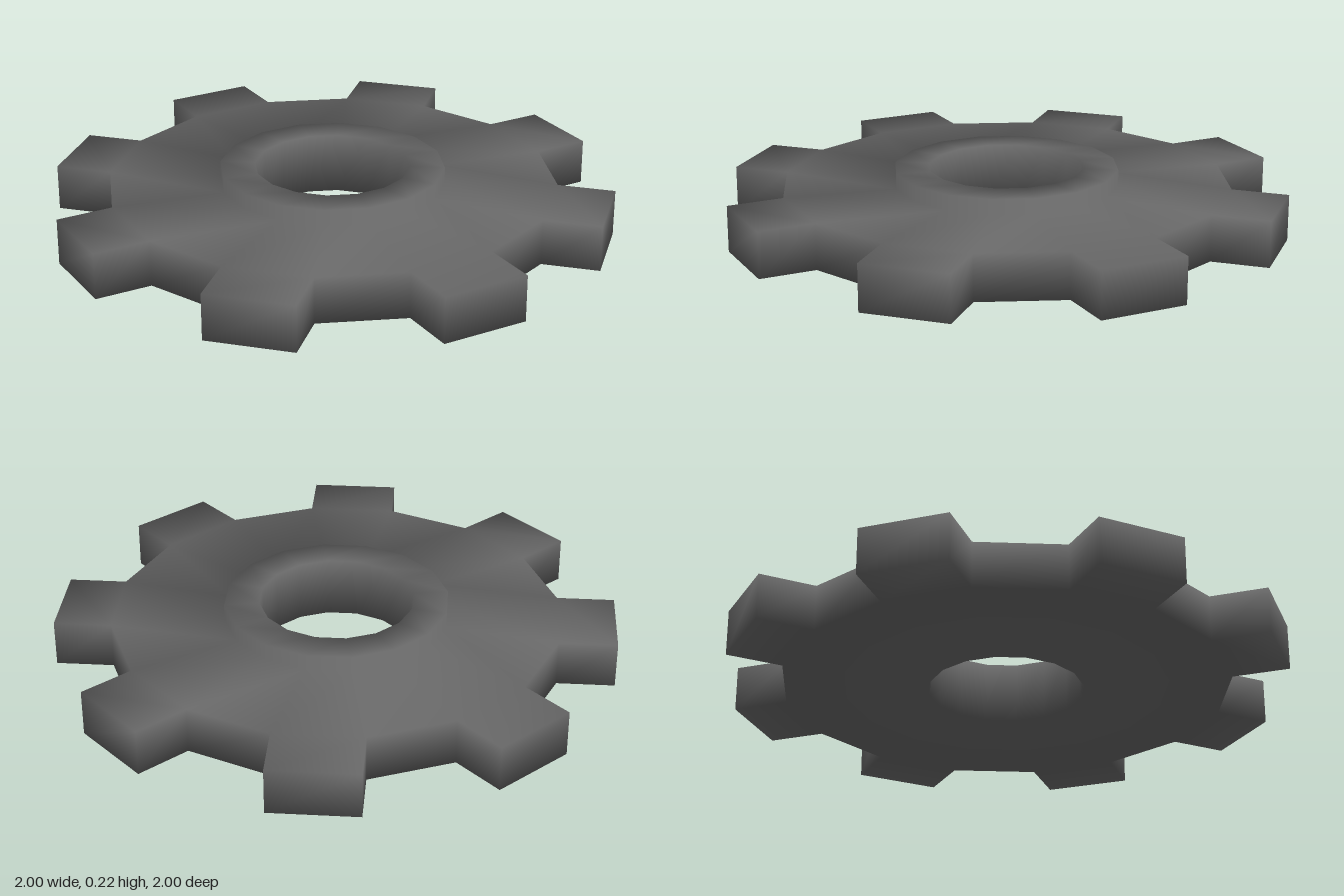
import * as THREE from 'three';

const SIDES = 16;        // facets around the wheel; every second one carries a tooth
const TOOTH = 0.204;     // tooth length
const TOP = 0.165;       // thickness of the toothed disc

// Cross-section rings [radius, y]
const RINGS = [
  [0.275, 0],     // 0 bore, bottom
  [0.275, 0.22],  // 1 bore, top
  [0.4, 0.22],    // 2 hub rim
  [0.4, TOP],     // 3 hub foot
  [0.8, TOP],     // 4 disc rim, top
  [0.8, 0],       // 5 disc rim, bottom
];

function gearGeometry() {
  const points = [];
  const normals = [];
  const index = [];
  const step = (Math.PI * 2) / SIDES;

  const addPoint = (x, y, z) => {
    normals.push(new THREE.Vector3());
    return points.push(new THREE.Vector3(x, y, z)) - 1;
  };

  // Every face counts equally in its corners' normals, for soft rounded shading
  const quad = (a, b, c, d) => {
    index.push(a, b, c, a, c, d);
    const ac = points[c].clone().sub(points[a]);
    const bd = points[d].clone().sub(points[b]);
    const normal = ac.cross(bd).normalize();
    for (const v of [a, b, c, d]) normals[v].add(normal);
  };

  const rings = RINGS.map(([r, y]) =>
    Array.from({ length: SIDES }, (_, i) =>
      addPoint(r * Math.sin(i * step), y, -r * Math.cos(i * step))));

  for (let i = 0; i < SIDES; i++) {
    const j = (i + 1) % SIDES;
    const strip = (p, q) => quad(rings[p][i], rings[p][j], rings[q][j], rings[q][i]);

    // Bore, hub, top face and underside
    strip(0, 1);
    strip(1, 2);
    strip(2, 3);
    strip(3, 4);
    strip(5, 0);

    // Gap between teeth
    if (i % 2) {
      strip(4, 5);
      continue;
    }

    // Tooth: the rim facet pushed straight outwards
    const mid = (i + 0.5) * step;
    const push = (v) => addPoint(
      points[v].x + TOOTH * Math.sin(mid), points[v].y,
      points[v].z - TOOTH * Math.cos(mid));
    const [e0, e1, f0, f1] = [rings[4][i], rings[4][j], rings[5][i], rings[5][j]];
    const [g0, g1, h0, h1] = [e0, e1, f0, f1].map(push);
    quad(e0, e1, g1, g0); // top
    quad(g0, g1, h1, h0); // tip
    quad(h0, h1, f1, f0); // underside
    quad(e0, g0, h0, f0); // flanks
    quad(f1, h1, g1, e1);
  }

  const geometry = new THREE.BufferGeometry().setFromPoints(points);
  const flat = normals.flatMap((n) => n.normalize().toArray());
  geometry.setAttribute('normal', new THREE.Float32BufferAttribute(flat, 3));
  geometry.setIndex(index);
  return geometry;
}

export function createModel() {
  const model = new THREE.Group();
  model.name = 'gear';
  const wheel = new THREE.Mesh(
    gearGeometry(),
    new THREE.MeshStandardMaterial({ color: 0x666666 }));
  wheel.name = 'toothedWheelWithHub';
  model.add(wheel);
  return model;
}
